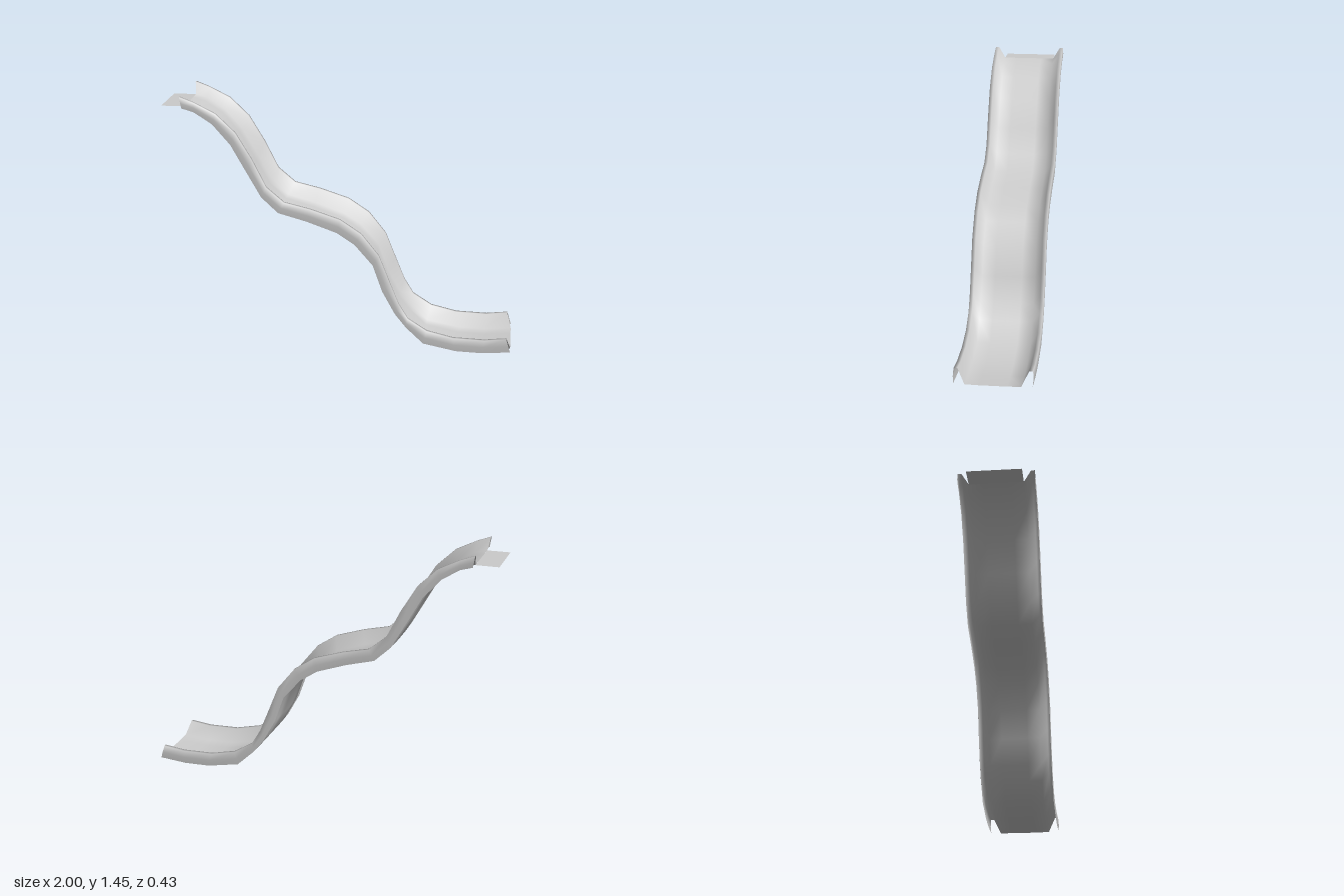
import * as THREE from 'three';

// Rail top and bottom edge along the slide: [topX, topY, bottomX, bottomY]
const stations = [
  [-0.88, 1.455, -0.87, 1.39], [-0.8, 1.425, -0.8, 1.37], [-0.68, 1.365, -0.7, 1.305],
  [-0.57, 1.26, -0.6, 1.19], [-0.48, 1.11, -0.51, 1.03], [-0.4, 0.95, -0.43, 0.89],
  [-0.3, 0.865, -0.335, 0.8], [-0.15, 0.83, -0.17, 0.755], [0.02, 0.775, 0, 0.695],
  [0.14, 0.695, 0.1, 0.63], [0.24, 0.57, 0.205, 0.51], [0.3, 0.42, 0.26, 0.355],
  [0.4, 0.2, 0.335, 0.22], [0.52, 0.125, 0.5, 0.045],
  [0.67, 0.09, 0.69, 0.008], [0.85, 0.085, 0.84, 0.004], [0.975, 0.1, 1, 0.018],
];
stations.splice(12, 1, [0.355, 0.285, 0.335, 0.22], [0.41, 0.195, 0.4, 0.14]);

// Half section from outer rail skirt to bed: [z, height fraction]
const half = [[0.21, 0.04], [0.213, 0.5], [0.21, 1], [0.19, 1], [0.15, 0.02], [0.075, 0]];
const section = [
  ...half.map(([z, t]) => [-z, t]), [0, 0],
  ...half.slice().reverse(),
];

// Smooth open skin through equally long rows of points
function skin(rows, material, name) {
  const n = rows[0].length;
  const index = [];
  for (let i = 0; i < rows.length - 1; i++) {
    for (let j = 0; j < n - 1; j++) {
      const a = i * n + j, c = a + n;
      index.push(a, a + 1, c, a + 1, c + 1, c);
    }
  }
  const geometry = new THREE.BufferGeometry();
  geometry.setAttribute('position', new THREE.Float32BufferAttribute(rows.flat(2), 3));
  geometry.setIndex(index);
  geometry.computeVertexNormals();
  const mesh = new THREE.Mesh(geometry, material);
  mesh.name = name;
  return mesh;
}

export function createModel() {
  const group = new THREE.Group();
  group.name = 'slide';
  const material = new THREE.MeshStandardMaterial({ color: 0xcccccc, side: THREE.DoubleSide });

  // Wavy chute with raised hollow rails
  const rows = stations.map(([tx, ty, bx, by]) =>
    section.map(([z, t]) => [bx + (tx - bx) * t, by + (ty - by) * t, z]));
  group.add(skin(rows, material, 'chute'));

  // Flat tongue at the top, continuing the bed
  const tongue = [-1, -0.93, -0.87].map((x) =>
    [-0.15, -0.075, 0, 0.075, 0.15].map((z) => [x, 1.39, z]));
  group.add(skin(tongue, material, 'entryTongue'));

  return group;
}
